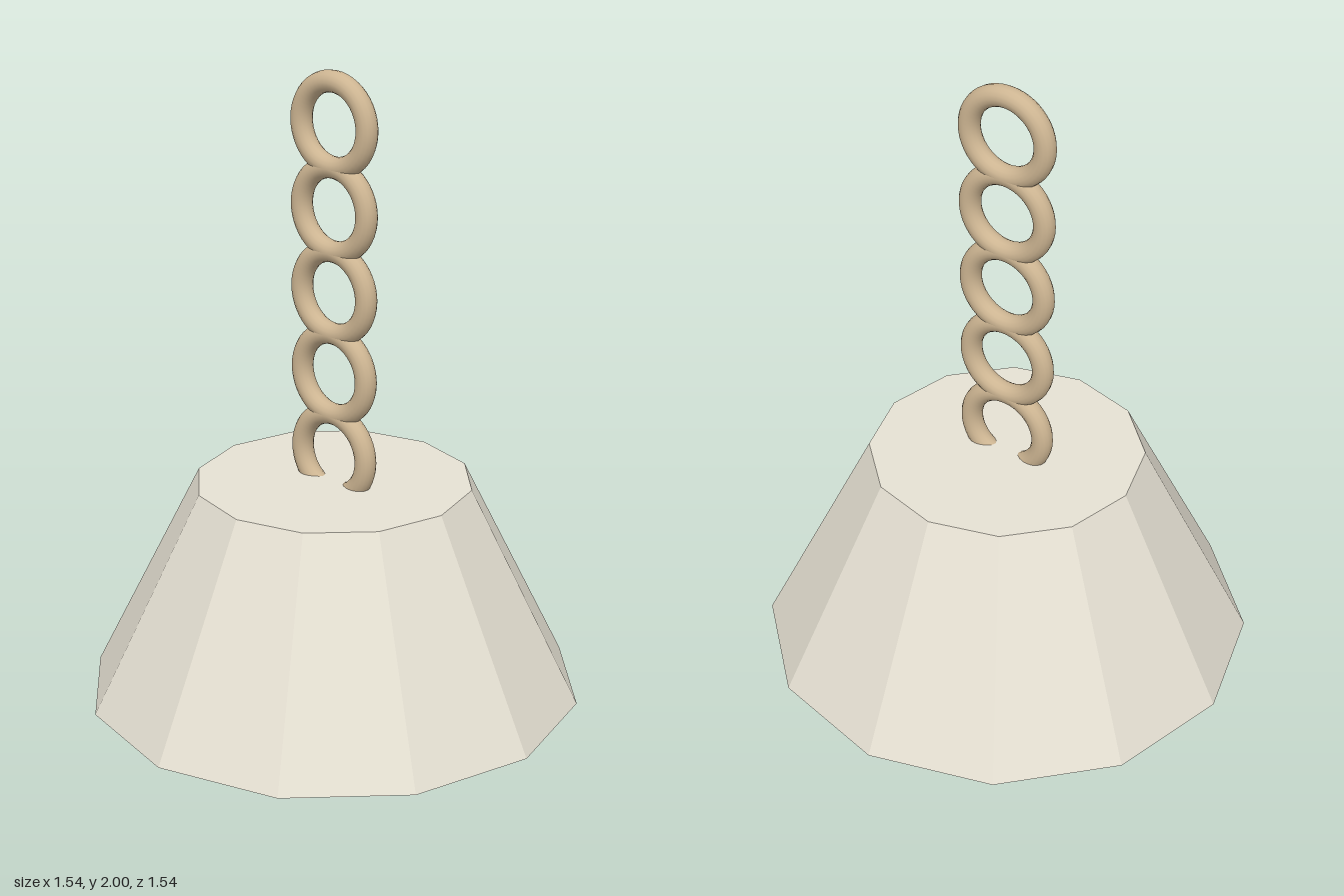
import * as THREE from 'three';

export function createModel() {
  const model = new THREE.Group();
  const shadeMaterial = new THREE.MeshStandardMaterial({ color: 0xe6e1d3, flatShading: true });
  const chainMaterial = new THREE.MeshStandardMaterial({ color: 0xcdb592 });
  const bulbMaterial = new THREE.MeshStandardMaterial({ color: 0xc8ac72, flatShading: true });

  const add = (parent, name, geometry, material, y) => {
    const mesh = new THREE.Mesh(geometry, material);
    mesh.name = name;
    mesh.position.y = y;
    parent.add(mesh);
  };

  // Twelve-sided closed lamp shade
  const bottom = 0.047, top = 0.73;
  add(model, 'shade', new THREE.CylinderGeometry(0.427, 0.768, top - bottom, 12),
    shadeMaterial, (bottom + top) / 2);

  // Faceted bulb, its tip showing below the shade
  const bulbRadius = 0.077;
  add(model, 'bulb', new THREE.SphereGeometry(bulbRadius, 8, 3), bulbMaterial, bulbRadius);

  // Chain of five rings in one plane, the lowest sunk into the shade
  const chain = new THREE.Group();
  chain.name = 'chain';
  const link = new THREE.TorusGeometry(0.128, 0.033, 16, 48);
  for (let i = 0; i < 5; i++) {
    add(chain, `chainLink${i + 1}`, link, chainMaterial, 1.839 - i * 0.256);
  }
  model.add(chain);

  return model;
}
